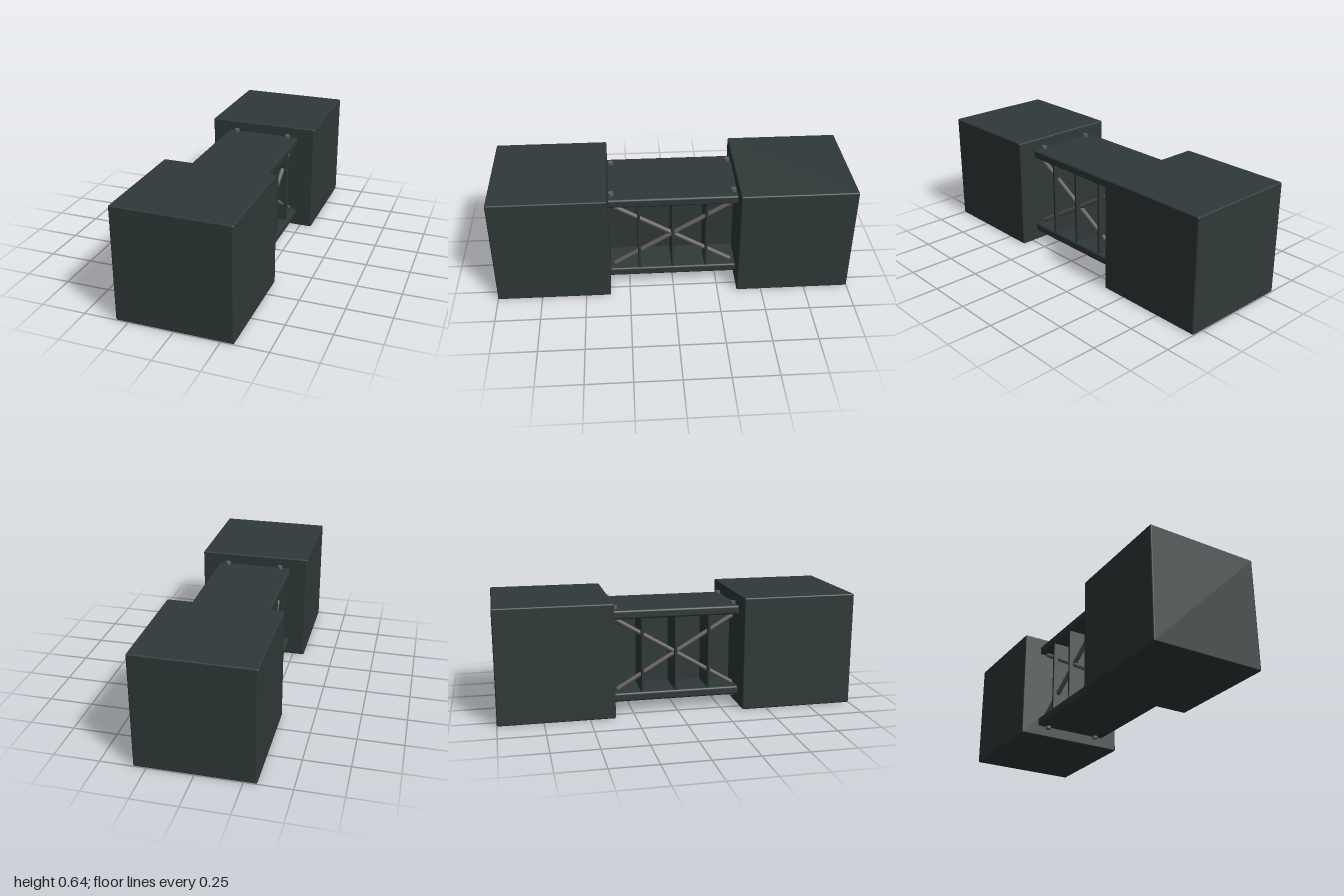
import * as THREE from 'three';
import { RoundedBoxGeometry } from 'three/addons/geometries/RoundedBoxGeometry.js';

export function createModel() {
  const model = new THREE.Group();
  const paint = new THREE.MeshStandardMaterial({ color: 0x2f3a39 });
  paint.name = 'darkGreenPaint';
  const steel = new THREE.MeshStandardMaterial({ color: 0x625d5d });
  steel.name = 'greySteel';

  const add = (name, geometry, material, x, y, z) => {
    const mesh = new THREE.Mesh(geometry, material);
    mesh.name = name;
    mesh.position.set(x, y, z);
    model.add(mesh);
    return mesh;
  };

  const midY = 0.32;

  // Cube weights at both ends
  const cube = new RoundedBoxGeometry(0.64, 0.64, 0.64, 3, 0.008);
  for (const s of [1, -1]) add('endCube', cube, paint, 0, midY, s * 0.68);

  // I-beam: two flanges joined by a central web
  const flange = new RoundedBoxGeometry(0.44, 0.05, 0.726, 3, 0.012);
  for (const s of [1, -1]) add('flange', flange, paint, 0, midY + s * 0.235, 0);
  add('web', new THREE.BoxGeometry(0.04, 0.43, 0.73), paint, 0, midY, 0);

  // Cross ribs
  const rib = new RoundedBoxGeometry(0.428, 0.43, 0.016, 2, 0.004);
  for (const z of [-0.19, 0, 0.19]) add('rib', rib, paint, 0, midY, z);

  // Diagonal bracing rods on each side
  const dy = 0.395, dz = 0.66;
  const rod = new THREE.CylinderGeometry(0.013, 0.013, Math.hypot(dy, dz), 16);
  for (const x of [-0.18, 0.18]) {
    for (const s of [1, -1]) {
      add('braceRod', rod, steel, x, midY + 0.003, 0).rotation.x = s * Math.atan2(dz, dy);
    }
  }

  // Bolt heads on the flange corners
  const bolt = new THREE.CylinderGeometry(0.015, 0.015, 0.025, 16);
  for (const x of [-0.16, 0.16])
    for (const z of [-0.338, 0.338])
      for (const s of [1, -1]) add('bolt', bolt, steel, x, midY + s * 0.264, z);

  return model;
}
